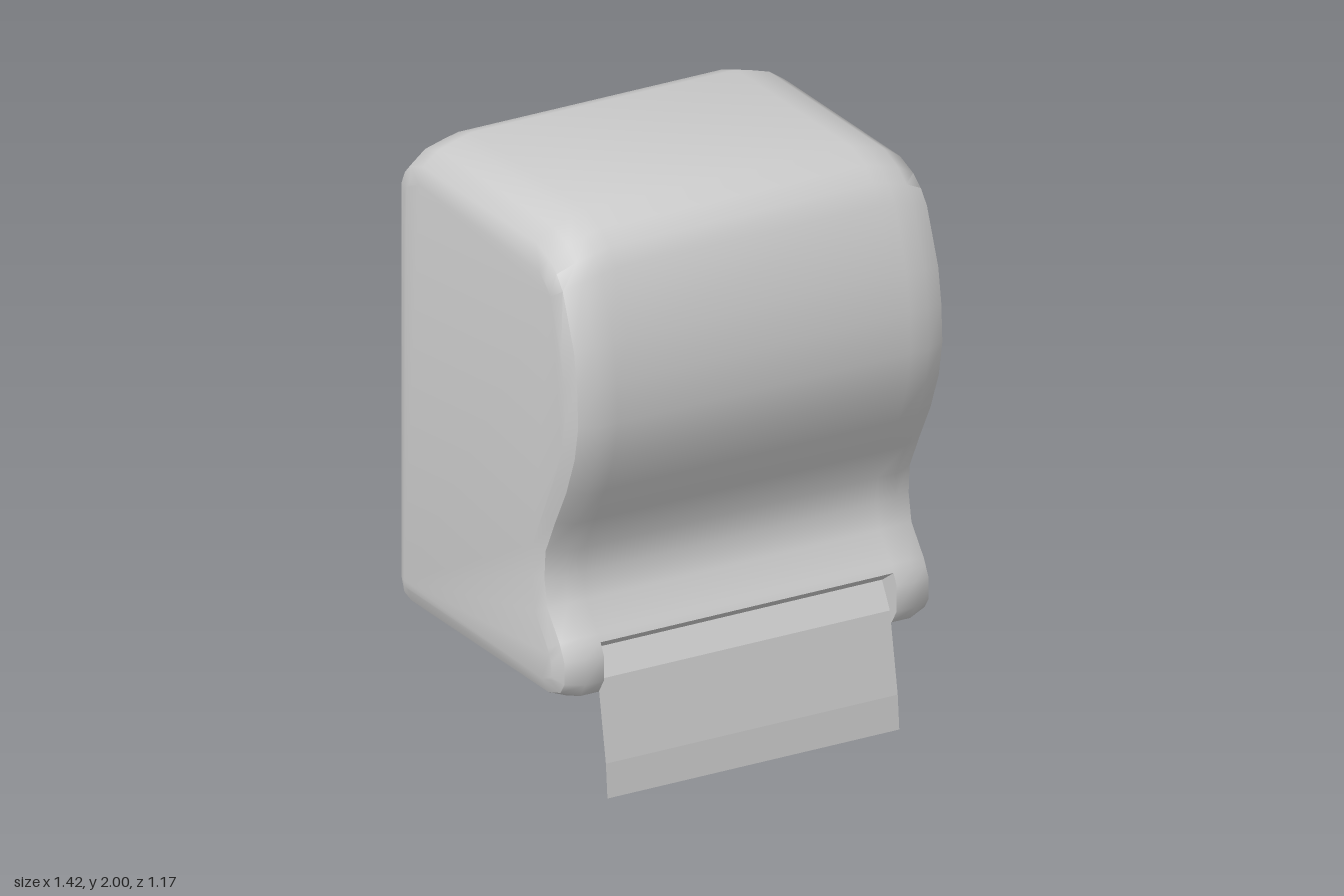
import * as THREE from 'three';
import { mergeGeometries, toCreasedNormals } from 'three/addons/utils/BufferGeometryUtils.js';

const SLOT = 0.555; // half width of the paper slot

// Side profiles as [z, y], running up the front, over the top and down the back
const lip = [[0.38, 0.33], [0.467, 0.36], [0.5, 0.41], [0.5, 0.5], [0.48, 0.54]];
const slotBack = [0.38, 0.47];
const shell = [
  [0.467, 0.565], [0.39, 0.66], [0.374, 0.75], [0.38, 0.84], [0.44, 0.96], [0.51, 1.09],
  [0.565, 1.23], [0.589, 1.36], [0.582, 1.5], [0.562, 1.64], [0.488, 1.86], [0.445, 1.92],
  [0.39, 1.965], [0.3, 2], [-0.43, 2], [-0.52, 1.967], [-0.56, 1.92], [-0.585, 1.86],
  [-0.585, 0.41], [-0.56, 0.35], [-0.5, 0.33],
];
const fullProfile = [...lip, ...shell];
const slottedProfile = [lip[0], slotBack, lip[4], ...shell];

// Move a profile inwards by inset and lower its crown by drop
function shrink(profile, inset, drop) {
  const n = profile.length;
  return profile.map(([z, y], i) => {
    const a = profile[(i + n - 1) % n], b = profile[(i + 1) % n];
    const l1 = Math.hypot(z - a[0], y - a[1]), l2 = Math.hypot(b[0] - z, b[1] - y);
    const t = new THREE.Vector2((z - a[0]) / l1 + (b[0] - z) / l2, (y - a[1]) / l1 + (b[1] - y) / l2).normalize();
    const crown = Math.max(0, (y - 1.5) / 0.5);
    return [z - t.y * inset, y + t.x * inset - drop * crown];
  });
}

function toGeometry(positions) {
  const g = new THREE.BufferGeometry();
  g.setAttribute('position', new THREE.Float32BufferAttribute(positions, 3));
  return g;
}

// Skin between rings { x, pts } ordered by rising x
function loft(rings, closed = true) {
  const out = [];
  for (let r = 0; r + 1 < rings.length; r++) {
    const A = rings[r], B = rings[r + 1], n = A.pts.length;
    const at = (ring, i) => [ring.x, ring.pts[i % n][1], ring.pts[i % n][0]];
    for (let i = 0; i < (closed ? n : n - 1); i++) {
      out.push(...at(A, i), ...at(B, i), ...at(B, i + 1), ...at(A, i), ...at(B, i + 1), ...at(A, i + 1));
    }
  }
  return toGeometry(out);
}

// Flat wall at x, facing +x or -x
function wall(pts, x, facing) {
  const v = pts.map(([z, y]) => new THREE.Vector2(z, y));
  const out = [];
  for (const [a, b, c] of THREE.ShapeUtils.triangulateShape(v, [])) {
    const turn = (v[b].x - v[a].x) * (v[c].y - v[a].y) - (v[b].y - v[a].y) * (v[c].x - v[a].x);
    // a counter-clockwise turn in (z, y) faces -x
    const order = turn * facing < 0 ? [a, b, c] : [a, c, b];
    for (const k of order) out.push(x, v[k].y, v[k].x);
  }
  return toGeometry(out);
}

function housing() {
  const slotDrop = 0.014;
  // x, inset, crown drop towards the side
  const sideSteps = [[SLOT, 0, slotDrop], [0.625, 0, 0.035], [0.69, 0.025, 0.055], [0.71, 0.075, 0.065]];
  const side = sideSteps.map(([x, inset, drop]) => ({ x, pts: shrink(fullProfile, inset, drop) }));
  const mirrored = side.map(({ x, pts }) => ({ x: -x, pts })).reverse();
  const middle = [[-SLOT, slotDrop], [-0.5, 0], [0.5, 0], [SLOT, slotDrop]]
    .map(([x, drop]) => ({ x, pts: shrink(slottedProfile, 0, drop) }));
  const cheek = [...lip, slotBack];
  const cap = side[3].pts;
  const merged = mergeGeometries([
    loft(side), loft(mirrored), loft(middle),
    wall(cap, 0.71, 1), wall(cap, -0.71, -1),
    wall(cheek, SLOT, -1), wall(cheek, -SLOT, 1),
  ]);
  return toCreasedNormals(merged, 0.72);
}

// Thin sheet hanging out of the slot
function paper() {
  const pts = [[0.52, 0], [0.51, 0.12], [0.46, 0.4], [0.41, 0.491]];
  const g = loft([{ x: -SLOT + 0.002, pts }, { x: SLOT - 0.002, pts }], false);
  g.computeVertexNormals();
  return g;
}

export function createModel() {
  const group = new THREE.Group();
  group.name = 'paperTowelDispenser';
  const add = (name, geometry, options = {}) => {
    const mesh = new THREE.Mesh(geometry, new THREE.MeshStandardMaterial({ color: 0xcccccc, ...options }));
    mesh.name = name;
    group.add(mesh);
  };
  add('housing', housing());
  add('paperSheet', paper(), { side: THREE.DoubleSide });
  return group;
}
